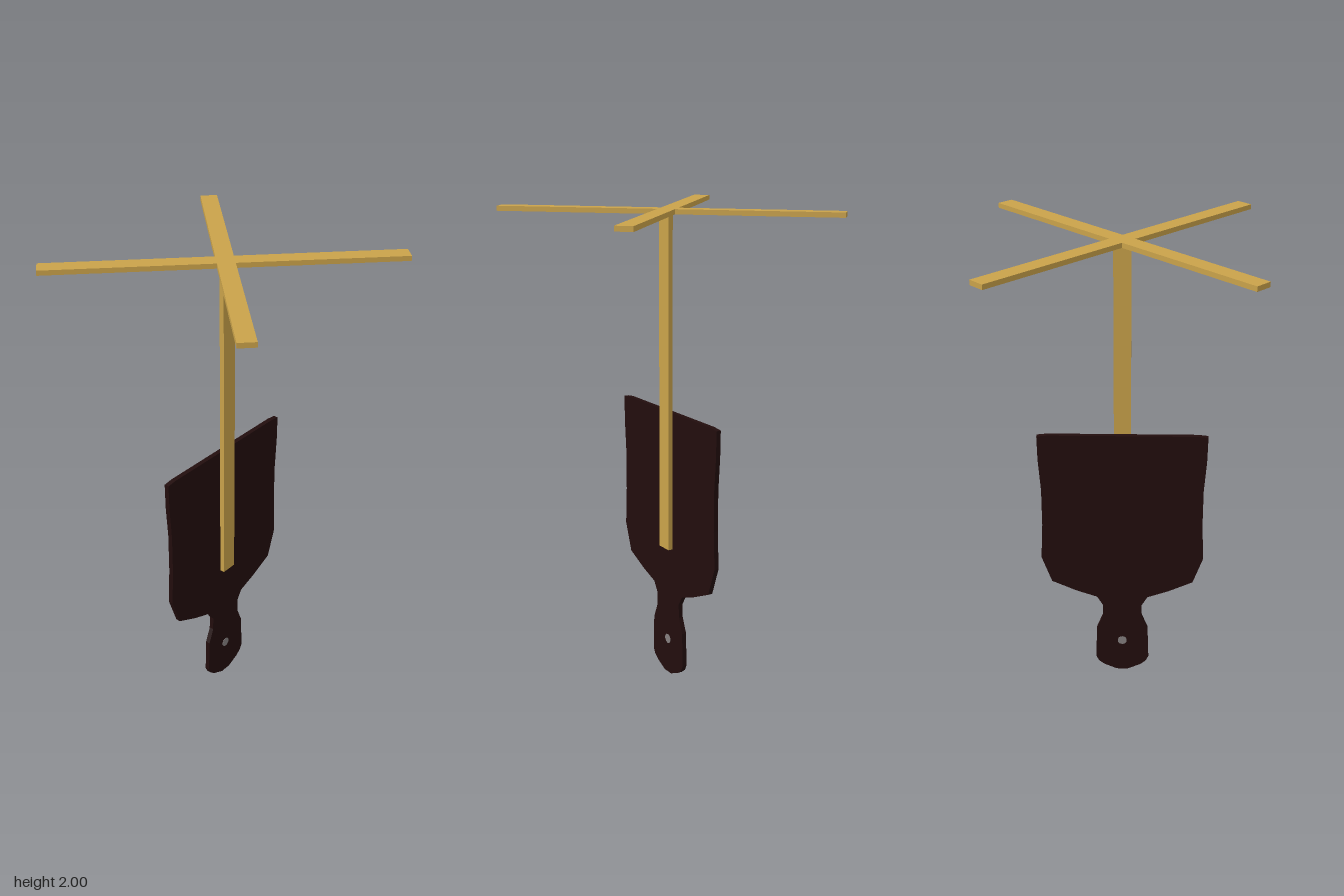
import * as THREE from 'three';

export function createModel() {
  const model = new THREE.Group();
  const wood = new THREE.MeshStandardMaterial({ color: 0xc9a24a });
  wood.name = 'light wood';
  const dark = new THREE.MeshStandardMaterial({ color: 0x220d0d });
  dark.name = 'dark wood';
  const grey = new THREE.MeshStandardMaterial({ color: 0x858080 });
  grey.name = 'grey';

  const add = (name, geometry, material, x = 0, y = 0, z = 0) => {
    const mesh = new THREE.Mesh(geometry, material);
    mesh.name = name;
    mesh.position.set(x, y, z);
    model.add(mesh);
    return mesh;
  };
  const extrude = (points, depth) => new THREE.ExtrudeGeometry(
    new THREE.Shape(points.map(([x, y]) => new THREE.Vector2(x, y))),
    { depth, bevelEnabled: false });

  // paddle-shaped board: right half outline from handle to blade, mirrored
  const half = [
    [0.025, 0], [0.08, 0.025], [0.105, 0.045], [0.117, 0.07], [0.112, 0.22],
    [0.086, 0.285], [0.085, 0.345], [0.11, 0.388], [0.2, 0.42], [0.305, 0.468],
    [0.348, 0.59], [0.34, 0.75], [0.34, 0.92], [0.35, 1.06], [0.352, 1.17], [0.31, 1.175],
  ];
  const outline = [...half, ...half.map(([x, y]) => [-x, y]).reverse()];
  add('paddleBoard', extrude(outline, 0.02), dark, 0, 0, -0.02);

  // small round mark on both faces of the handle
  for (const [name, z] of [['frontHandleDot', 0], ['backHandleDot', -0.02]]) {
    const dot = new THREE.CylinderGeometry(0.021, 0.021, 0.003, 10).rotateX(Math.PI / 2);
    add(name, dot, grey, 0, 0.157, z);
  }

  // upright post in front of the board
  add('post', new THREE.BoxGeometry(0.07, 1.4, 0.02), wood, 0, 1.28, 0.01);

  // two crossed bars lying flat on top, as one outline
  const w = 0.035, l = 0.7;
  const arms = [];
  for (let i = 0; i < 4; i++) {
    const c = [1, 0, -1, 0][i], s = [0, 1, 0, -1][i];
    for (const [x, y] of [[l, -w], [l, w], [w, w]]) arms.push([x * c - y * s, x * s + y * c]);
  }
  const cross = extrude(arms, 0.02).rotateX(-Math.PI / 2).rotateY(Math.PI / 4);
  add('crossBars', cross, wood, 0, 1.98, 0);

  return model;
}
